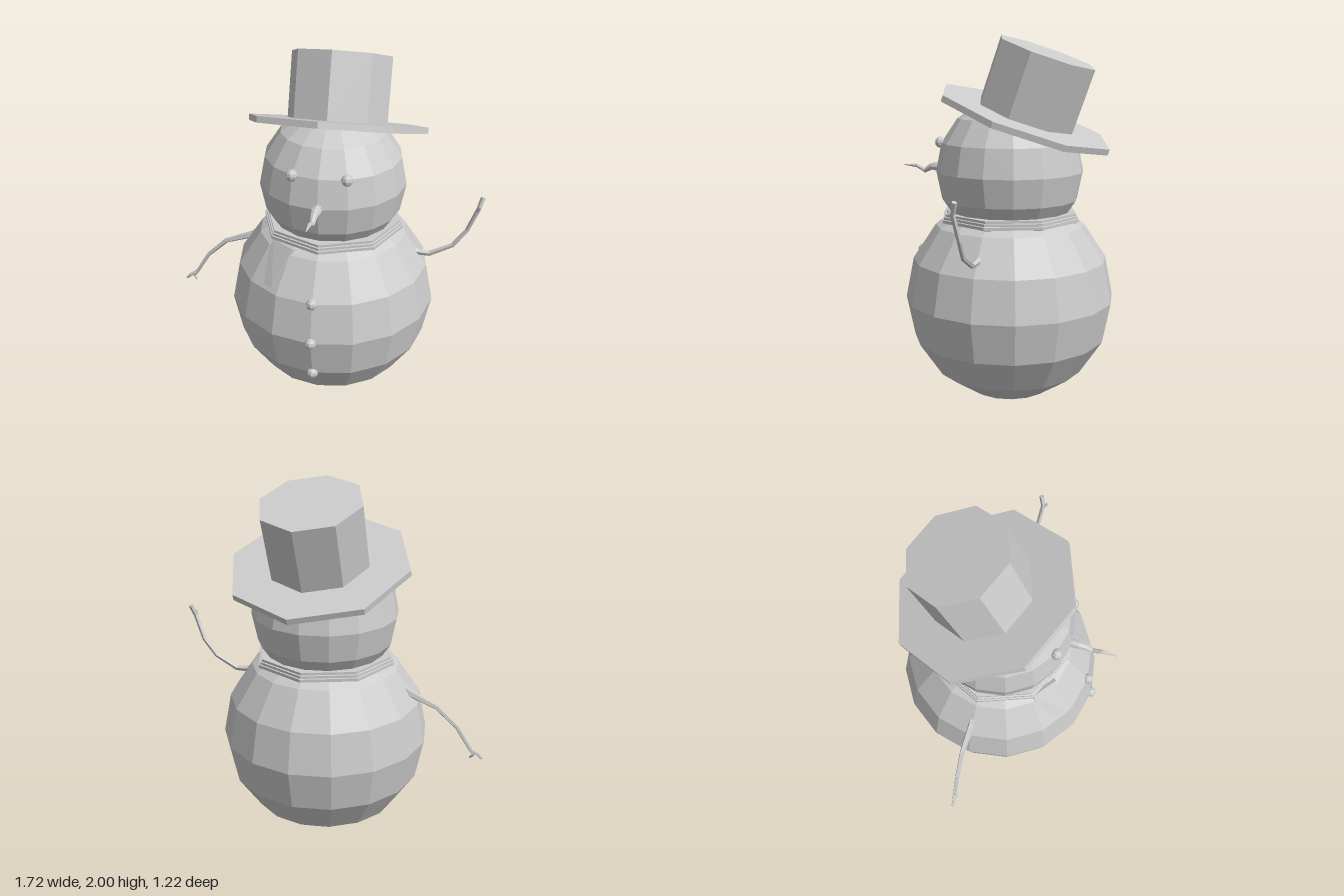
import * as THREE from 'three';
import { ConvexGeometry } from 'three/addons/geometries/ConvexGeometry.js';

const CX = 0.04, CZ = -0.035; // axis of the snow balls
const grey = new THREE.MeshStandardMaterial({ color: 0xcccccc, flatShading: true });

function add(parent, name, geometry, x = 0, y = 0, z = 0) {
  const mesh = new THREE.Mesh(geometry, grey);
  mesh.name = name;
  mesh.position.set(x, y, z);
  parent.add(mesh);
  return mesh;
}

// Tapered stick through points [x, y, z, radius], closed at both ends
function stick(points, ref, sides = 5) {
  const rows = [[...points[0].slice(0, 3), 0], ...points, [...points.at(-1).slice(0, 3), 0]];
  const at = (i) => new THREE.Vector3(...points[THREE.MathUtils.clamp(i, 0, points.length - 1)].slice(0, 3));
  const pos = [], index = [];
  rows.forEach((row, i) => {
    const k = THREE.MathUtils.clamp(i - 1, 0, points.length - 1);
    const t = at(k + 1).sub(at(k - 1)).normalize();
    const u = ref.clone().cross(t).normalize();
    const v = t.clone().cross(u);
    for (let j = 0; j < sides; j++) {
      const a = (j / sides) * Math.PI * 2;
      const p = new THREE.Vector3(row[0], row[1], row[2])
        .addScaledVector(u, Math.cos(a) * row[3])
        .addScaledVector(v, Math.sin(a) * row[3]);
      pos.push(p.x, p.y, p.z);
      if (i < rows.length - 1) {
        const n = (j + 1) % sides, a0 = i * sides + j, b0 = i * sides + n;
        index.push(a0, b0, b0 + sides, a0, b0 + sides, a0 + sides);
      }
    }
  });
  const g = new THREE.BufferGeometry();
  g.setAttribute('position', new THREE.Float32BufferAttribute(pos, 3));
  g.setIndex(index);
  g.computeVertexNormals();
  return g;
}

export function createModel() {
  const model = new THREE.Group();
  model.name = 'snowman';

  // Snow balls
  add(model, 'body', new THREE.SphereGeometry(0.575, 16, 8), CX, 0.58, CZ);
  add(model, 'head', new THREE.SphereGeometry(0.4, 16, 8), CX, 1.28, CZ);

  // Coal buttons and eyes
  const coal = new THREE.SphereGeometry(0.031, 8, 6);
  [[0.8, 0.495], [0.58, 0.535], [0.36, 0.495]].forEach(([y, z]) => add(model, 'button', coal, CX, y, z));
  for (const s of [-1, 1]) add(model, s > 0 ? 'leftEye' : 'rightEye', coal, CX + s * 0.142, 1.435, 0.312);

  // Crooked carrot nose
  add(model, 'nose', stick([
    [CX, 1.28, 0.33, 0.027], [CX, 1.283, 0.4, 0.026], [CX, 1.281, 0.437, 0.019],
    [CX, 1.258, 0.475, 0.014], [CX, 1.283, 0.525, 0.011], [CX, 1.285, 0.605, 0.002],
  ], new THREE.Vector3(0, 1, 0), 8));

  // Scarf: stepped octagonal band and a hanging end
  const band = [[0.3, 1.0], [0.365, 1.0], [0.375, 1.015], [0.393, 1.018], [0.393, 1.034], [0.385, 1.036],
    [0.385, 1.049], [0.376, 1.051], [0.376, 1.064], [0.3, 1.064]].map(([r, y]) => new THREE.Vector2(r, y));
  add(model, 'scarfBand', new THREE.LatheGeometry(band, 8), CX, 0, CZ);
  const outer = [[-0.225, 1.02, 0.245], [-0.1, 1.02, 0.335], [-0.195, 0.825, 0.425], [-0.325, 0.81, 0.325]]
    .map((p) => new THREE.Vector3(...p));
  const depth = new THREE.Vector3(0.02, -0.018, -0.03);
  add(model, 'scarfEnd', new ConvexGeometry([...outer, ...outer.map((p) => p.clone().add(depth))]));

  // Twig arms, each with a main branch and a short finger
  const zAxis = new THREE.Vector3(0, 0, 1);
  const leftArm = new THREE.Group();
  leftArm.name = 'leftArm';
  model.add(leftArm);
  add(leftArm, 'branch', stick([
    [0.44, 0.9, -0.04, 0.02], [0.52, 0.876, -0.035, 0.018], [0.585, 0.872, -0.035, 0.015],
    [0.71, 0.938, -0.04, 0.013], [0.78, 1.035, -0.05, 0.012], [0.83, 1.17, -0.04, 0.013],
    [0.848, 1.232, -0.058, 0.014],
  ], zAxis));
  add(leftArm, 'finger', stick([
    [0.826, 1.16, -0.043, 0.01], [0.83, 1.178, -0.025, 0.009], [0.836, 1.195, -0.02, 0.006],
  ], new THREE.Vector3(1, 0, 0)));

  const rightArm = new THREE.Group();
  rightArm.name = 'rightArm';
  model.add(rightArm);
  add(rightArm, 'branch', stick([
    [-0.36, 0.92, -0.04, 0.024], [-0.44, 0.868, -0.04, 0.021], [-0.6, 0.806, -0.045, 0.014],
    [-0.715, 0.702, -0.038, 0.012], [-0.795, 0.575, -0.032, 0.011], [-0.835, 0.552, -0.026, 0.01],
    [-0.86, 0.528, -0.026, 0.007],
  ], zAxis));
  add(rightArm, 'finger', stick([
    [-0.79, 0.585, -0.032, 0.011], [-0.812, 0.548, -0.03, 0.009], [-0.792, 0.527, -0.024, 0.007],
  ], zAxis));

  // Octagonal top hat, tipped backwards
  const hat = new THREE.Group();
  hat.name = 'hat';
  hat.position.set(CX, 1.545, -0.113);
  hat.rotation.x = THREE.MathUtils.degToRad(-19.7);
  model.add(hat);
  add(hat, 'brim', new THREE.CylinderGeometry(0.49, 0.49, 0.033, 8), 0, 0.0165, 0);
  add(hat, 'crown', new THREE.CylinderGeometry(0.273, 0.273, 0.355, 8), 0, 0.2085, 0);

  return model;
}
